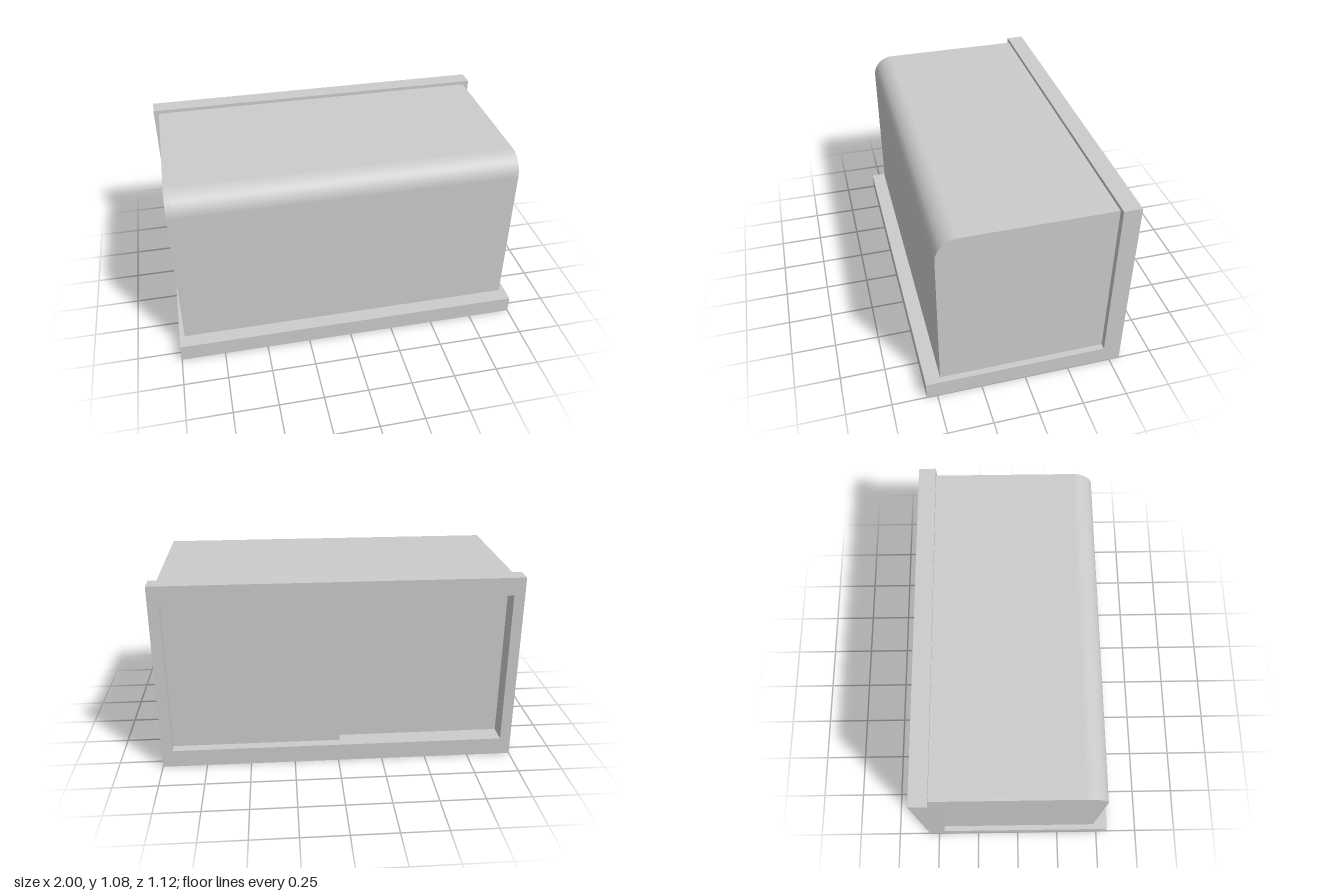
import * as THREE from 'three';
import { toCreasedNormals } from 'three/addons/utils/BufferGeometryUtils.js';

const material = new THREE.MeshStandardMaterial({ color: 0xcccccc });

const FRONT = 0.475, BACK = -0.46, FLOOR = 0.1, TOP = 1.06, RADIUS = 0.12;
const LEFT = 0.965, RIGHT = -0.97, WALL = 0.03;

function add(group, name, geometry) {
  const mesh = new THREE.Mesh(geometry, material);
  mesh.name = name;
  group.add(mesh);
  return mesh;
}

// Box given by its lower and upper corners
function box(x0, x1, y0, y1, z0, z1) {
  return new THREE.BoxGeometry(x1 - x0, y1 - y0, z1 - z0)
    .translate((x0 + x1) / 2, (y0 + y1) / 2, (z0 + z1) / 2);
}

// Side profile (u = -z) extruded along x from x0 to x1
function extrudeAlongX(shape, x0, x1) {
  const g = new THREE.ExtrudeGeometry(shape, { depth: x1 - x0, bevelEnabled: false, curveSegments: 16 });
  g.rotateY(Math.PI / 2).translate(x0, 0, 0);
  return toCreasedNormals(g, 0.5);
}

// Outer cabinet outline with a rounded top front edge
function sideOutline() {
  const s = new THREE.Shape();
  s.moveTo(-BACK, FLOOR);
  s.lineTo(-BACK, TOP);
  s.lineTo(-FRONT + RADIUS, TOP);
  s.absarc(-FRONT + RADIUS, TOP - RADIUS, RADIUS, Math.PI / 2, Math.PI, false);
  s.lineTo(-FRONT, FLOOR);
  s.closePath();
  return s;
}

// Sheet that forms the front, the rounded edge and the roof
function coverOutline() {
  const s = new THREE.Shape();
  s.moveTo(-BACK, TOP - WALL);
  s.lineTo(-BACK, TOP);
  s.lineTo(-FRONT + RADIUS, TOP);
  s.absarc(-FRONT + RADIUS, TOP - RADIUS, RADIUS, Math.PI / 2, Math.PI, false);
  s.lineTo(-FRONT, FLOOR);
  s.lineTo(-FRONT + WALL, FLOOR);
  s.lineTo(-FRONT + WALL, TOP - RADIUS);
  s.absarc(-FRONT + RADIUS, TOP - RADIUS, RADIUS - WALL, Math.PI, Math.PI / 2, true);
  s.closePath();
  return s;
}

export function createModel() {
  const group = new THREE.Group();
  group.name = 'slidingDoorCabinet';

  // Plinth
  add(group, 'base', box(-1, 1, 0, FLOOR, BACK, 0.56));

  // Hollow cabinet: bent cover and two end panels
  add(group, 'cover', extrudeAlongX(coverOutline(), RIGHT + WALL, LEFT - WALL));
  add(group, 'leftEndPanel', extrudeAlongX(sideOutline(), LEFT - WALL, LEFT));
  add(group, 'rightEndPanel', extrudeAlongX(sideOutline(), RIGHT, RIGHT + WALL));

  // Back frame with a rectangular opening
  const frame = new THREE.Shape();
  frame.moveTo(-1, 0).lineTo(1, 0).lineTo(1, 1.08).lineTo(-1, 1.08).closePath();
  const opening = new THREE.Path();
  opening.moveTo(-0.94, 0.1).lineTo(-0.94, 0.98).lineTo(0.94, 0.98).lineTo(0.94, 0.1).closePath();
  frame.holes.push(opening);
  add(group, 'backFrame', new THREE.ExtrudeGeometry(frame, { depth: 0.1, bevelEnabled: false })
    .translate(0, 0, -0.56));

  // Two sliding doors on separate tracks
  add(group, 'outerDoor', box(-0.01, 0.94, 0.1, 0.98, -0.505, -0.455));
  add(group, 'innerDoor', box(-0.94, 0.03, 0.1, 1.0, -0.45, -0.4));

  return group;
}
